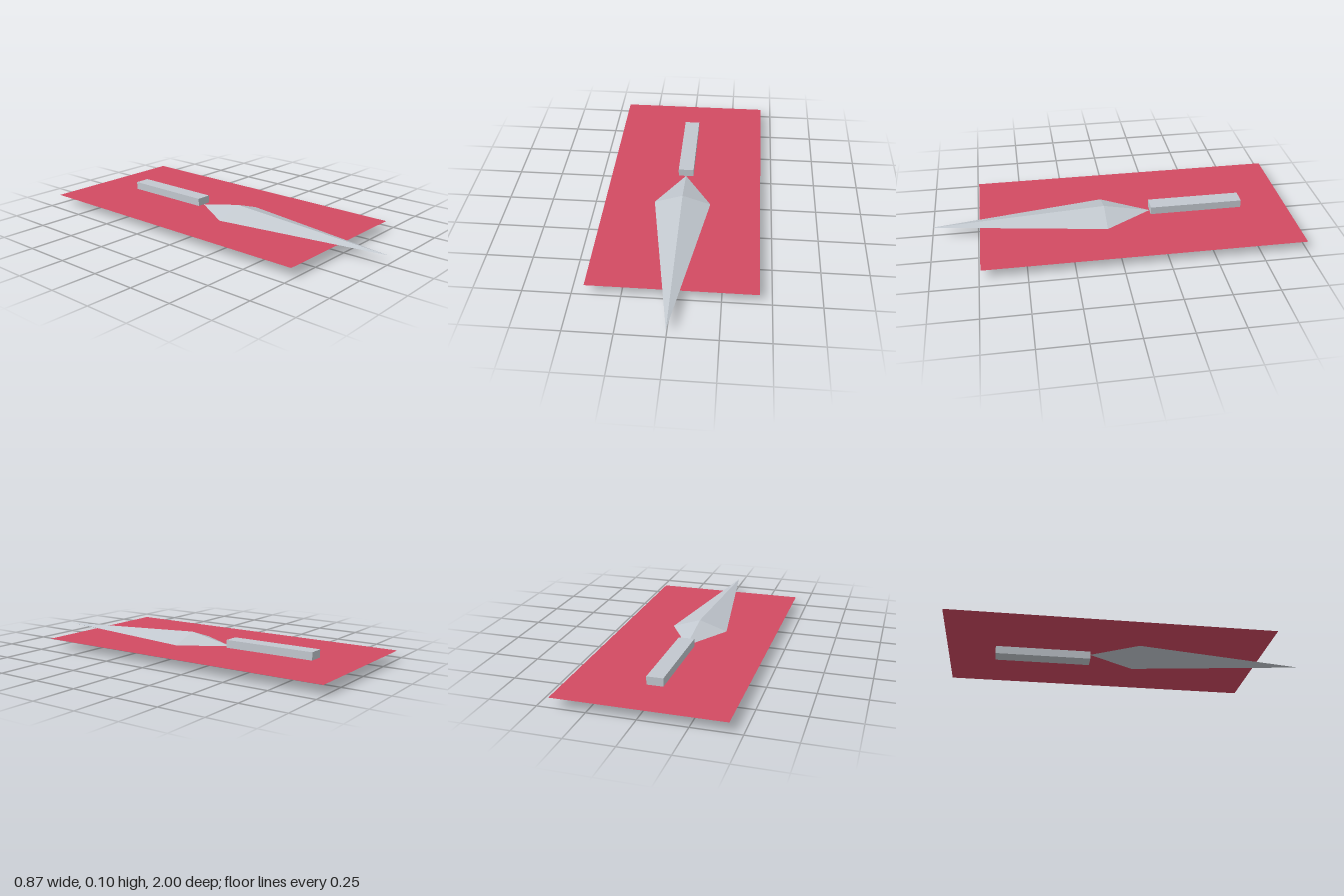
import * as THREE from 'three';

export function createModel() {
  const model = new THREE.Group();
  const u = 2 / 2.3;        // base unit: width of the sheet
  const midY = 0.06 * u;    // all parts share this mid-plane
  const originZ = -0.15 * u;

  const steel = new THREE.MeshStandardMaterial({ color: 0xc2c8cf, flatShading: true });
  steel.name = 'steel grey';
  const red = new THREE.MeshStandardMaterial({ color: 0xd24a62, side: THREE.DoubleSide });
  red.name = 'crimson';

  const add = (name, geometry, material, z) => {
    const mesh = new THREE.Mesh(geometry, material);
    mesh.name = name;
    mesh.position.set(0, midY, originZ + z * u);
    model.add(mesh);
  };

  // Flat sheet through the mid-plane
  add('sheet', new THREE.PlaneGeometry(u, 2 * u).rotateX(-Math.PI / 2), red, 0);

  // Square bar handle
  add('handle', new THREE.BoxGeometry(0.1 * u, 0.1 * u, 0.6 * u), steel, -0.4);

  // Blade: an octahedron with a long front point and a short rear point
  const blade = new THREE.OctahedronGeometry(1, 0);
  const p = blade.attributes.position;
  for (let i = 0; i < p.count; i++) {
    const z = p.getZ(i);
    p.setXYZ(i, p.getX(i) * 0.18 * u, p.getY(i) * 0.06 * u, z * (z > 0 ? 1.1 : 0.3) * u);
  }
  blade.computeVertexNormals();
  add('blade', blade, steel, 0.2);

  return model;
}
